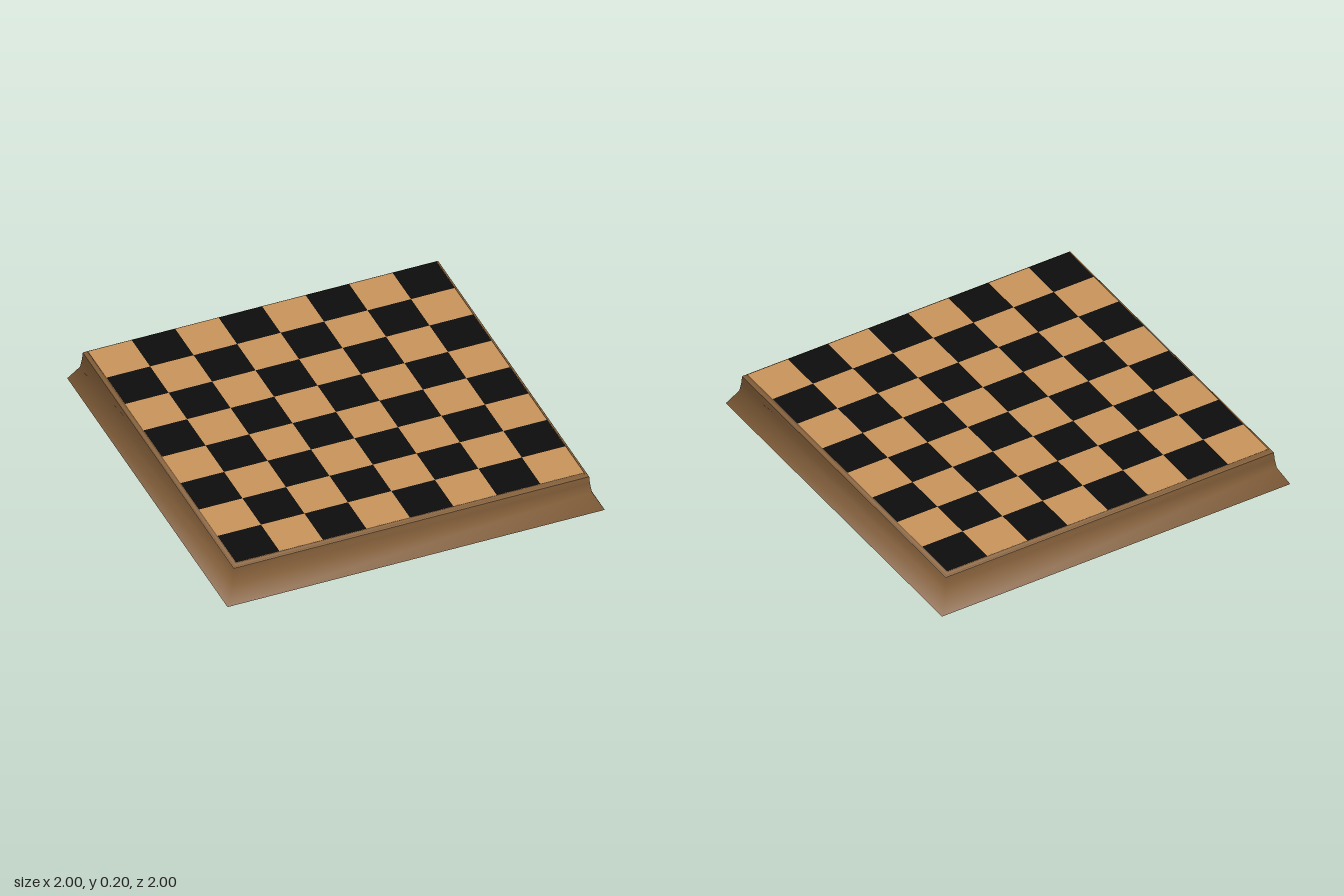
import * as THREE from 'three';
import { mergeGeometries } from 'three/addons/utils/BufferGeometryUtils.js';

const frameWood = new THREE.MeshStandardMaterial({ color: 0x85603a, side: THREE.DoubleSide });
frameWood.name = 'frame wood';
const lightWood = new THREE.MeshStandardMaterial({ color: 0xc8935a, side: THREE.DoubleSide });
lightWood.name = 'light wood';
const blackWood = new THREE.MeshStandardMaterial({ color: 0x0c0c0c, side: THREE.DoubleSide });
blackWood.name = 'black wood';

// Sweeps a [half width, height] profile around a square; corners are shared for soft shading
function squareLoft(profile) {
  const corners = [[-1, 1], [1, 1], [1, -1], [-1, -1]];
  const positions = [];
  const index = [];
  profile.forEach(([r, y], row) => {
    corners.forEach(([x, z], c) => {
      positions.push(x * r, y, z * r);
      if (row === 0) return;
      const n = (c + 1) % 4;
      const a = (row - 1) * 4 + c, b = (row - 1) * 4 + n;
      const d = row * 4 + c, e = row * 4 + n;
      index.push(a, b, e, a, e, d);
    });
  });
  const geometry = new THREE.BufferGeometry();
  geometry.setAttribute('position', new THREE.Float32BufferAttribute(positions, 3));
  geometry.setIndex(index);
  geometry.computeVertexNormals();
  return geometry;
}

export function createModel() {
  const group = new THREE.Group();
  group.name = 'checkeredBoard';

  // Hollow moulded frame: flared foot, upright side
  const frame = new THREE.Mesh(
    squareLoft([[1, 0], [0.952, 0.09], [0.945, 0.14], [0.942, 0.18]]), frameWood);
  frame.name = 'frame';
  group.add(frame);

  // Narrow stepped lip around the playing surface
  const lip = new THREE.Mesh(
    squareLoft([[0.942, 0.18], [0.938, 0.185], [0.926, 0.186], [0.925, 0.196], [0.921, 0.196]]), frameWood);
  lip.name = 'lip';
  group.add(lip);

  // Eight by eight playing surface, open underneath
  const half = 0.922, size = half / 4;
  const squares = [[], []];
  for (let row = 0; row < 8; row++) {
    for (let col = 0; col < 8; col++) {
      const tile = new THREE.PlaneGeometry(size, size);
      tile.rotateX(-Math.PI / 2);
      tile.translate(-half + (col + 0.5) * size, 0.197, -half + (row + 0.5) * size);
      squares[(row + col) % 2].push(tile);
    }
  }
  [['lightSquares', lightWood], ['blackSquares', blackWood]].forEach(([name, material], i) => {
    const mesh = new THREE.Mesh(mergeGeometries(squares[i]), material);
    mesh.name = name;
    group.add(mesh);
  });

  return group;
}
